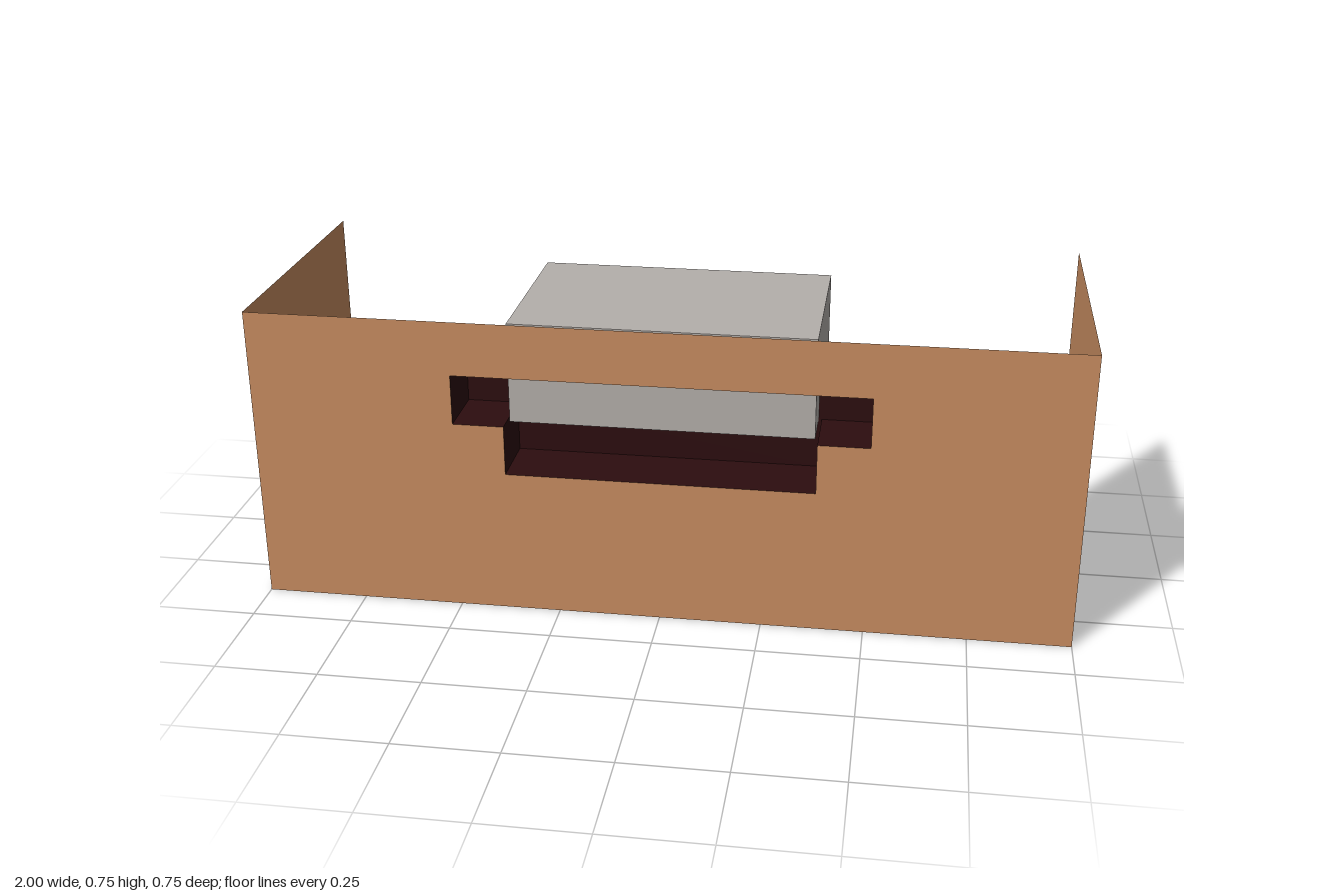
import * as THREE from 'three';

const W = 1, H = 0.75, D = 0.375;      // half width, height, half depth of the case
const RECESS_BACK = 0.22;

const material = (name, color) => {
  const m = new THREE.MeshStandardMaterial({ color, side: THREE.DoubleSide });
  m.name = name;
  return m;
};

export function createModel() {
  const tan = material('tan', 0xc88d61);
  const maroon = material('dark maroon', 0x2c0d0f);
  const grey = material('warm grey', 0xb4afab);
  const model = new THREE.Group();

  const add = (parent, name, geometry, mat, pos = [0, 0, 0], rot = [0, 0, 0]) => {
    const mesh = new THREE.Mesh(geometry, mat);
    mesh.name = name;
    mesh.position.set(...pos);
    mesh.rotation.set(...rot);
    parent.add(mesh);
    return mesh;
  };

  // T-shaped outline shared by the front opening and the recess behind it
  const outline = [
    [-0.5, 0.615], [-0.5, 0.49], [-0.375, 0.49], [-0.375, 0.365],
    [0.375, 0.365], [0.375, 0.49], [0.5, 0.49], [0.5, 0.615],
  ].map(([x, y]) => new THREE.Vector2(x, y));

  // Front panel with the opening
  const front = new THREE.Shape([
    new THREE.Vector2(-W, 0), new THREE.Vector2(W, 0),
    new THREE.Vector2(W, H), new THREE.Vector2(-W, H),
  ]);
  front.holes.push(new THREE.Path(outline));
  add(model, 'frontPanel', new THREE.ShapeGeometry(front), tan, [0, 0, D]);

  // Floor and side panels; the back and top stay open
  add(model, 'floor', new THREE.PlaneGeometry(2 * W, 2 * D), tan, [0, 0, 0], [-Math.PI / 2, 0, 0]);
  for (const [name, s] of [['leftPanel', 1], ['rightPanel', -1]]) {
    add(model, name, new THREE.PlaneGeometry(2 * D, H), tan, [s * W, H / 2, 0], [0, s * Math.PI / 2, 0]);
  }

  // Recess: one wall along each edge of the outline, closed at the back
  const recess = new THREE.Group();
  recess.name = 'recess';
  model.add(recess);
  const depth = D - RECESS_BACK;
  outline.forEach((a, i) => {
    const b = outline[(i + 1) % outline.length];
    const wall = new THREE.PlaneGeometry(a.distanceTo(b), depth);
    wall.rotateX(-Math.PI / 2);
    add(recess, 'recessWall', wall, maroon,
      [(a.x + b.x) / 2, (a.y + b.y) / 2, D - depth / 2],
      [0, 0, Math.atan2(b.y - a.y, b.x - a.x)]);
  });
  add(recess, 'recessBack', new THREE.ShapeGeometry(new THREE.Shape(outline)), maroon, [0, 0, RECESS_BACK]);

  // Grey block set through the recess
  add(model, 'block', new THREE.BoxGeometry(0.735, 0.25, 0.465), grey, [0, 0.615, 0.107]);

  return model;
}
